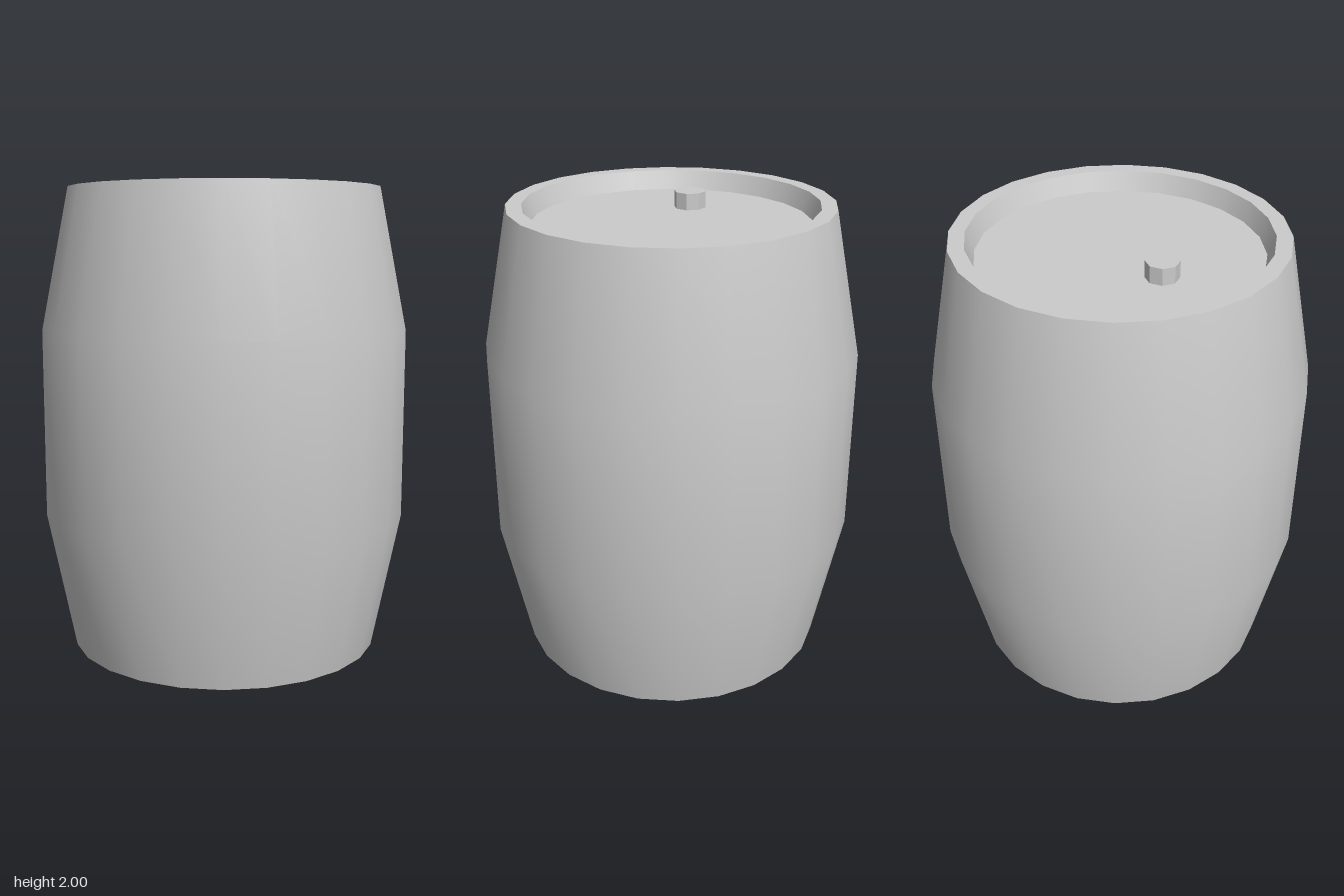
import * as THREE from 'three';

const SIDES = 24;

export function createModel() {
  const model = new THREE.Group();
  model.name = 'barrel';
  const material = new THREE.MeshStandardMaterial({ color: 0xcccccc });

  const add = (name, geometry) => {
    const mesh = new THREE.Mesh(geometry, material);
    mesh.name = name;
    model.add(mesh);
    return mesh;
  };
  // Each lathe is smooth within itself; separate lathes keep the rim edges sharp.
  const lathe = (name, ...profile) =>
    add(name, new THREE.LatheGeometry(profile.map(([r, y]) => new THREE.Vector2(r, y)), SIDES));

  // Underside: recessed head, inner wall and rim
  lathe('bottomHead', [0, 0.1], [0.58, 0.1]);
  lathe('bottomInnerWall', [0.58, 0.1], [0.61, 0]);
  lathe('bottomRim', [0.61, 0], [0.675, 0]);

  // Bulging outer body
  lathe('body', [0.675, 0], [0.795, 0.6], [0.795, 1.4], [0.675, 2]);

  // Top: rim, inner wall and recessed head
  lathe('topRim', [0.675, 2], [0.61, 2]);
  lathe('topInnerWall', [0.61, 2], [0.58, 1.92]);
  lathe('topHead', [0.58, 1.92], [0, 1.92]);

  // Octagonal bung standing on the top head
  const bung = add('bung', new THREE.CylinderGeometry(0.068, 0.068, 0.07, 8).toNonIndexed());
  bung.geometry.computeVertexNormals();
  bung.position.set(-0.2, 1.955, 0.167);

  return model;
}
